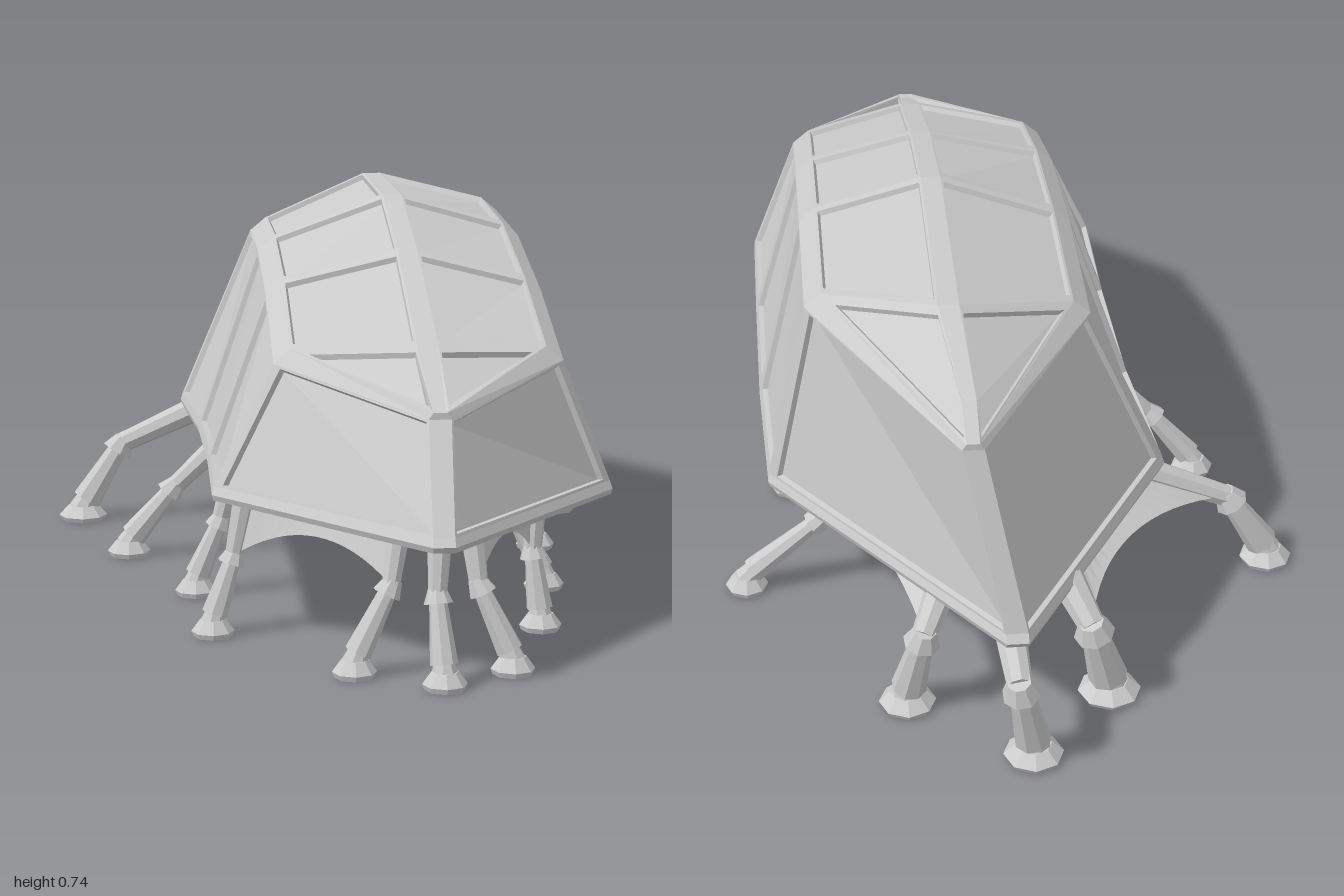
import * as THREE from 'three';

const material = new THREE.MeshStandardMaterial({ color: 0xcccccc, flatShading: true });
const thin = new THREE.MeshStandardMaterial({ color: 0xcccccc, side: THREE.DoubleSide });
const V = (x, y, z) => new THREE.Vector3(x, y, z);

function meshFrom(points, name, mat = material) {
  const g = new THREE.BufferGeometry().setFromPoints(points);
  g.computeVertexNormals();
  const m = new THREE.Mesh(g, mat);
  m.name = name;
  return m;
}
const quad = (out, a, b, c, d) => out.push(a, b, c, a, c, d);

// One hull cross-section: base, chamfered shoulder and flat ridge, right to left
function station({ base, zB, sh, yS, zS, ridge, yR, zR, inX = 0.032, upY = 0.027, half = 0.019 }) {
  return [
    V(base[0], 0.275, zB), V(sh[0], yS[0], zS), V(sh[0] + inX, yS[0] + upY, zS),
    V(ridge - half, yR, zR), V(ridge + half, yR, zR),
    V(sh[1] - inX, yS[1] + upY, zS), V(sh[1], yS[1], zS), V(base[1], 0.275, zB),
  ];
}
const tip = { inX: 0.008, upY: 0.012, half: 0.012 };
const stations = [
  { base: [0.105, 0.143], zB: 0.985, sh: [0.11, 0.15], yS: [0.455, 0.455], zS: 0.86, ridge: 0.13, yR: 0.472, zR: 0.83, ...tip },
  { base: [-0.255, 0.482], zB: 0.56, sh: [-0.145, 0.39], yS: [0.505, 0.505], zS: 0.57, ridge: 0.13, yR: 0.548, zR: 0.65 },
  { base: [-0.255, 0.482], zB: 0.28, sh: [-0.145, 0.39], yS: [0.59, 0.59], zS: 0.28, ridge: 0.13, yR: 0.67, zR: 0.28 },
  { base: [-0.265, 0.48], zB: -0.05, sh: [-0.145, 0.39], yS: [0.63, 0.655], zS: -0.05, ridge: 0.13, yR: 0.74, zR: -0.05 },
  { base: [-0.295, 0.468], zB: -0.37, sh: [-0.145, 0.39], yS: [0.625, 0.665], zS: -0.4, ridge: 0.13, yR: 0.733, zR: -0.53 },
  { base: [0.02, 0.06], zB: -0.91, sh: [0.09, 0.13], yS: [0.615, 0.615], zS: -0.825, ridge: 0.11, yR: 0.67, zR: -0.75, ...tip },
].map(station);

// Corners moved in by a margin per edge; corners that almost meet share one point
function insetCorners(corners, margins) {
  const merged = [], slot = [], w = [];
  corners.forEach((p, i) => {
    let k = merged.findIndex((q) => q.distanceTo(p) < 0.06);
    if (k < 0) k = merged.push(p.clone()) - 1;
    else merged[k].lerp(p, 0.5);
    w[k] = margins[i];
    slot.push(k);
  });
  const n = merged.length;
  const inner = merged.map((p, i) => {
    const before = (i + n - 1) % n;
    const u = merged[(i + 1) % n].clone().sub(p).normalize();
    const v = merged[before].clone().sub(p).normalize();
    const sin = u.clone().cross(v).length();
    return p.clone().addScaledVector(u, w[before] / sin).addScaledVector(v, w[i] / sin);
  });
  return slot.map((k) => inner[k]);
}

// Frame around a recessed plate
function addPanel(frame, plates, corners, margins) {
  const [a, b, c, d] = corners;
  const normal = c.clone().sub(a).cross(d.clone().sub(b)).normalize();
  const rim = insetCorners(corners, margins);
  const deep = insetCorners(corners, margins.map((m) => m + 0.003)).map((p) => p.addScaledVector(normal, -0.01));
  for (let i = 0; i < 4; i++) {
    const j = (i + 1) % 4;
    quad(frame, corners[i], corners[j], rim[j], rim[i]);
    quad(frame, rim[i], rim[j], deep[j], deep[i]);
  }
  quad(plates, ...deep);
}

function buildHull() {
  const hull = new THREE.Group();
  hull.name = 'hull';
  const frame = [], plates = [], belly = [];
  const last = stations.length - 1;
  for (let i = 0; i < last; i++) {
    const s = stations[i], t = stations[i + 1];
    const margins = [i === 0 ? 0.005 : 0.02, 0.005, i === last - 1 ? 0.005 : 0.02, 0.005];
    // sides and roof slopes
    for (const j of [0, 2, 4, 6]) addPanel(frame, plates, [s[j], s[j + 1], t[j + 1], t[j]], margins);
    // shoulder chamfers and the ridge strip
    for (const j of [1, 3, 5]) quad(frame, s[j], s[j + 1], t[j + 1], t[j]);
  }
  // nose and tail posts
  const nose = stations[0], tail = stations[last];
  for (let j = 0; j < 3; j++) {
    quad(frame, nose[j], nose[7 - j], nose[6 - j], nose[j + 1]);
    quad(frame, tail[7 - j], tail[j], tail[j + 1], tail[6 - j]);
  }
  // rounded lower rim and flat belly
  const outline = [...stations.map((s) => s[7]), ...stations.map((s) => s[0]).reverse()];
  const ring = (y, k) => outline.map((p) => V(0.11 + (p.x - 0.11) * k, y, p.z * k));
  const rings = [outline, ring(0.26, 1.012), ring(0.249, 1.005), ring(0.243, 0.975)];
  const n = outline.length, center = V(0.11, 0.243, 0);
  for (let i = 0; i < n; i++) {
    const j = (i + 1) % n;
    for (let r = 0; r < 3; r++) quad(belly, rings[r][j], rings[r][i], rings[r + 1][i], rings[r + 1][j]);
    belly.push(rings[3][j], rings[3][i], center);
  }
  hull.add(meshFrom(frame, 'hullFrame'), meshFrom(plates, 'hullPlates'), meshFrom(belly, 'rimAndBelly'));
  return hull;
}

// Tapered limb segment from a to b
function limb(a, b, ra, rb, name) {
  const dir = b.clone().sub(a);
  const m = new THREE.Mesh(new THREE.CylinderGeometry(rb, ra, dir.length(), 8), material);
  m.position.copy(a).lerp(b, 0.5);
  m.quaternion.setFromUnitVectors(V(0, 1, 0), dir.normalize());
  m.name = name;
  return m;
}

function buildLeg({ hip, knee, foot, size = 1 }) {
  const leg = new THREE.Group();
  leg.name = 'leg';
  const h = V(...hip), k = V(...knee), f = V(foot[0], 0.03, foot[1]);
  const r = 0.02 * size;
  const at = (t) => k.clone().lerp(f, t);
  leg.add(
    limb(h, k, r * 1.1, r * 0.85, 'thigh'),
    limb(at(-0.08), at(0.12), r * 0.8, r * 1.3, 'kneeCollar'),
    limb(at(0.1), at(0.9), r * 0.8, r * 1.25, 'shin'),
    limb(at(0.88), V(f.x, 0.024, f.z), r * 0.95, r * 1.2, 'ankle'),
    limb(V(f.x, 0.032, f.z), V(f.x, 0.01, f.z), r * 1.2, r * 2, 'foot'),
    limb(V(f.x, 0.01, f.z), V(f.x, 0, f.z), r * 2, r * 1.8, 'sole'),
  );
  return leg;
}

const frontSide = [
  { hip: [0.06, 0.25, 0.84], knee: [0.045, 0.16, 0.86], foot: [-0.02, 0.875] },
  { hip: [0.19, 0.25, 0.84], knee: [0.2, 0.16, 0.86], foot: [0.26, 0.875] },
];
const frontCorner = [
  { hip: [-0.2, 0.25, 0.58], knee: [-0.22, 0.15, 0.585], foot: [-0.26, 0.595] },
  { hip: [0.34, 0.25, 0.58], knee: [0.335, 0.15, 0.585], foot: [0.35, 0.595] },
];
const rearCorner = [
  { hip: [-0.24, 0.25, -0.37], knee: [-0.43, 0.165, -0.365], foot: [-0.515, -0.355], size: 1.3 },
  { hip: [0.35, 0.25, -0.37], knee: [0.37, 0.165, -0.365], foot: [0.525, -0.36], size: 1.05 },
];
const rearSide = [
  { hip: [-0.07, 0.25, -0.72], knee: [-0.11, 0.19, -0.79], foot: [-0.15, -0.75], size: 1.5 },
  { hip: [0.16, 0.25, -0.72], knee: [0.2, 0.19, -0.79], foot: [0.23, -0.75], size: 1.35 },
];
const singles = [
  { hip: [0.125, 0.25, 0.91], knee: [0.12, 0.16, 0.925], foot: [0.13, 0.96] },
  { hip: [0.05, 0.25, -0.82], knee: [0.04, 0.2, -0.965], foot: [0.01, -0.92], size: 1.4 },
  { hip: [-0.21, 0.25, 0.3], knee: [-0.235, 0.15, 0.3], foot: [-0.285, 0.3] },
  { hip: [0.34, 0.25, 0.3], knee: [0.34, 0.15, 0.3], foot: [0.4, 0.3] },
  { hip: [-0.21, 0.25, -0.02], knee: [-0.32, 0.145, -0.02], foot: [-0.415, -0.025], size: 1.1 },
  { hip: [0.34, 0.25, -0.02], knee: [0.35, 0.145, -0.02], foot: [0.43, -0.025] },
];

// Arched membrane under the hull between two legs
function buildWeb(a, b) {
  const ha = V(...a.hip), hb = V(...b.hip);
  const mid = ha.clone().lerp(hb, 0.5).setY(0.275);
  const arch = new THREE.QuadraticBezierCurve3(V(...a.knee), mid, V(...b.knee)).getPoints(16);
  const pts = [];
  for (let i = 0; i < 16; i++) {
    quad(pts, ha.clone().lerp(hb, i / 16), ha.clone().lerp(hb, (i + 1) / 16), arch[i + 1], arch[i]);
  }
  return meshFrom(pts, 'legWeb', thin);
}

export function createModel() {
  const model = new THREE.Group();
  model.name = 'walkingShell';
  model.add(buildHull());
  for (const leg of [...frontSide, ...frontCorner, ...rearCorner, ...rearSide, ...singles]) model.add(buildLeg(leg));
  for (let i = 0; i < 2; i++) {
    model.add(buildWeb(frontSide[i], frontCorner[i]), buildWeb(rearCorner[i], rearSide[i]));
  }
  return model;
}
